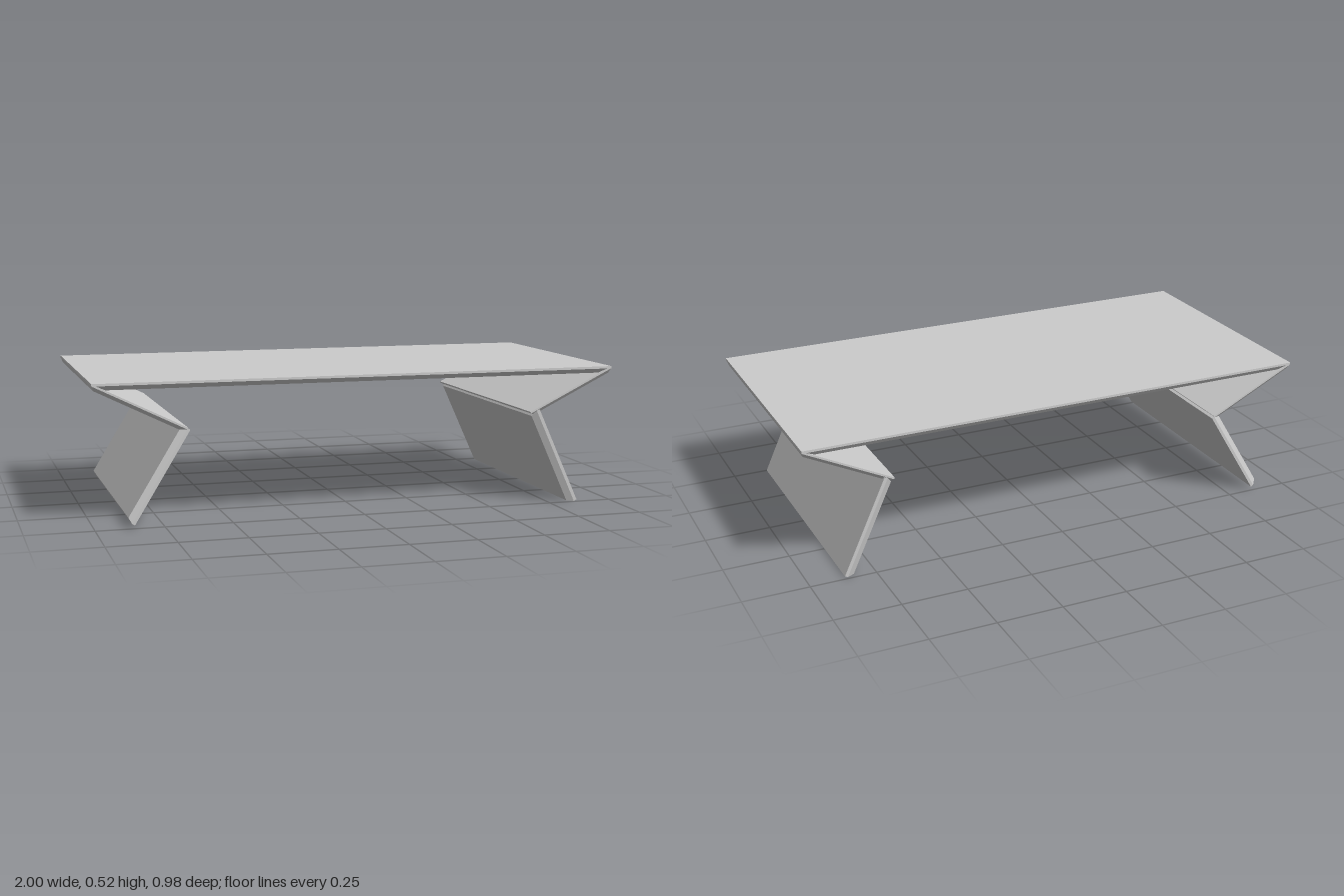
import * as THREE from 'three';
import { ConvexGeometry } from 'three/addons/geometries/ConvexGeometry.js';

const DEPTH = 0.49; // half depth shared by every panel
const material = new THREE.MeshStandardMaterial({ color: 0xcccccc, flatShading: true });

// Flat panel whose wide face runs from a to b (in x, y); the body is offset
// towards the given side, with a square rim and then a chamfer to a smaller face.
function panel(name, a, b, side, thickness, inset = 0.012) {
  const start = new THREE.Vector2(...a);
  const end = new THREE.Vector2(...b);
  const along = end.clone().sub(start).normalize();
  const normal = new THREE.Vector2(-along.y, along.x).multiplyScalar(side);
  const points = [];
  for (const [height, shrink] of [[0, 0], [thickness * 0.35, 0], [thickness, inset]]) {
    for (const [corner, dir] of [[start, 1], [end, -1]]) {
      const p = corner.clone().addScaledVector(along, dir * shrink).addScaledVector(normal, height);
      for (const s of [-1, 1]) points.push(new THREE.Vector3(p.x, p.y, s * (DEPTH - shrink)));
    }
  }
  const mesh = new THREE.Mesh(new ConvexGeometry(points), material);
  mesh.name = name;
  return mesh;
}

export function createModel() {
  const group = new THREE.Group();
  group.name = 'table';

  // Table top, chamfered underneath
  group.add(panel('tableTop', [-1, 0.523], [1, 0.523], -1, 0.025));

  // Sloping braces folded in under each end
  group.add(panel('leftBrace', [0.995, 0.52], [0.665, 0.358], 1, 0.02));
  group.add(panel('rightBrace', [-0.995, 0.52], [-0.66, 0.355], -1, 0.02));

  // Splayed panel legs
  group.add(panel('leftLeg', [0.703, 0.366], [0.867, 0.006], -1, 0.036));
  group.add(panel('rightLeg', [-0.652, 0.346], [-0.857, 0.01], -1, 0.032));

  // Stand on the floor
  group.position.y = -new THREE.Box3().setFromObject(group).min.y;
  return group;
}
